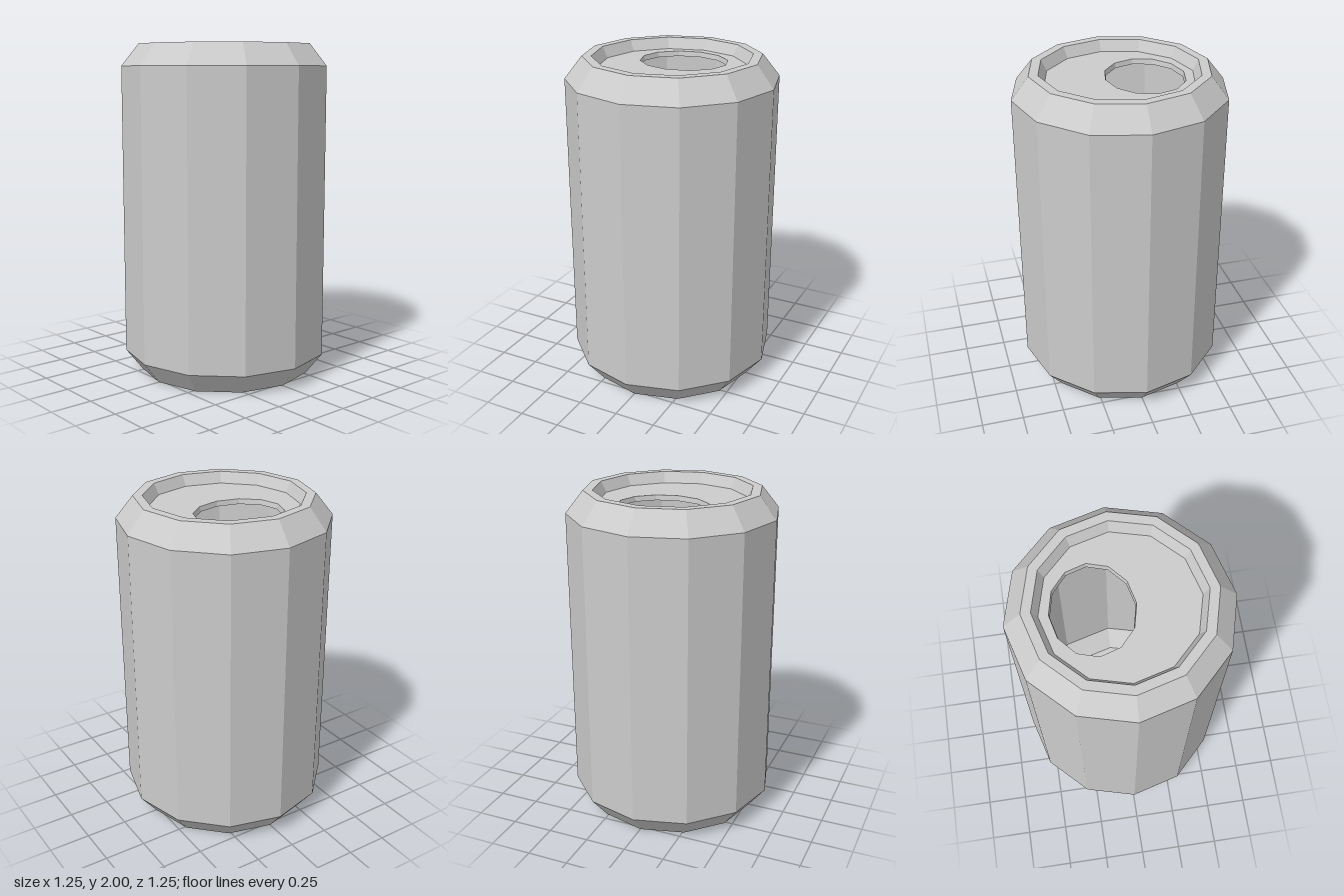
import * as THREE from 'three';

const SIDES = 12;
const LID_Y = 1.935;
const LID_RADIUS = 0.435;
const HOLE = { rx: 0.267, rz: 0.232, z: -0.148, depth: 0.03 };

// Corner points of a regular (or stretched) polygon
function polygon(rx, ry, cy = 0) {
  return Array.from({ length: SIDES }, (_, i) => {
    const a = (i / SIDES) * Math.PI * 2;
    return new THREE.Vector2(Math.cos(a) * rx, cy + Math.sin(a) * ry);
  });
}

export function createModel() {
  const group = new THREE.Group();
  group.name = 'drinkCan';
  const material = new THREE.MeshStandardMaterial({
    color: 0xcccccc, flatShading: true, side: THREE.DoubleSide,
  });
  const add = (name, geometry) => {
    const mesh = new THREE.Mesh(geometry, material);
    mesh.name = name;
    group.add(mesh);
    return mesh;
  };

  // Hollow shell: chamfered shoulders and flat rims
  const profile = [
    [0.435, 0.065], [0.467, 0], [0.522, 0], [0.625, 0.13],
    [0.625, 1.87], [0.522, 2], [0.467, 2], [LID_RADIUS, LID_Y],
  ].map(([r, y]) => new THREE.Vector2(r, y));
  add('body', new THREE.LatheGeometry(profile, SIDES));

  // Slightly domed recessed base
  const dome = [new THREE.Vector2(0, 0.085), new THREE.Vector2(0.435, 0.065)];
  add('base', new THREE.LatheGeometry(dome, SIDES));

  // Recessed lid with the drinking hole near the back
  const lid = new THREE.Shape(polygon(LID_RADIUS, LID_RADIUS));
  lid.holes.push(new THREE.Path(polygon(HOLE.rx, HOLE.rz, -HOLE.z)));
  add('lid', new THREE.ShapeGeometry(lid).rotateX(-Math.PI / 2)).position.y = LID_Y;

  // Thin lip turned down inside the hole
  const lip = new THREE.CylinderGeometry(HOLE.rx, HOLE.rx - 0.006, HOLE.depth, SIDES, 1, true);
  lip.scale(1, 1, HOLE.rz / HOLE.rx);
  add('holeLip', lip).position.set(0, LID_Y - HOLE.depth / 2, HOLE.z);

  return group;
}
